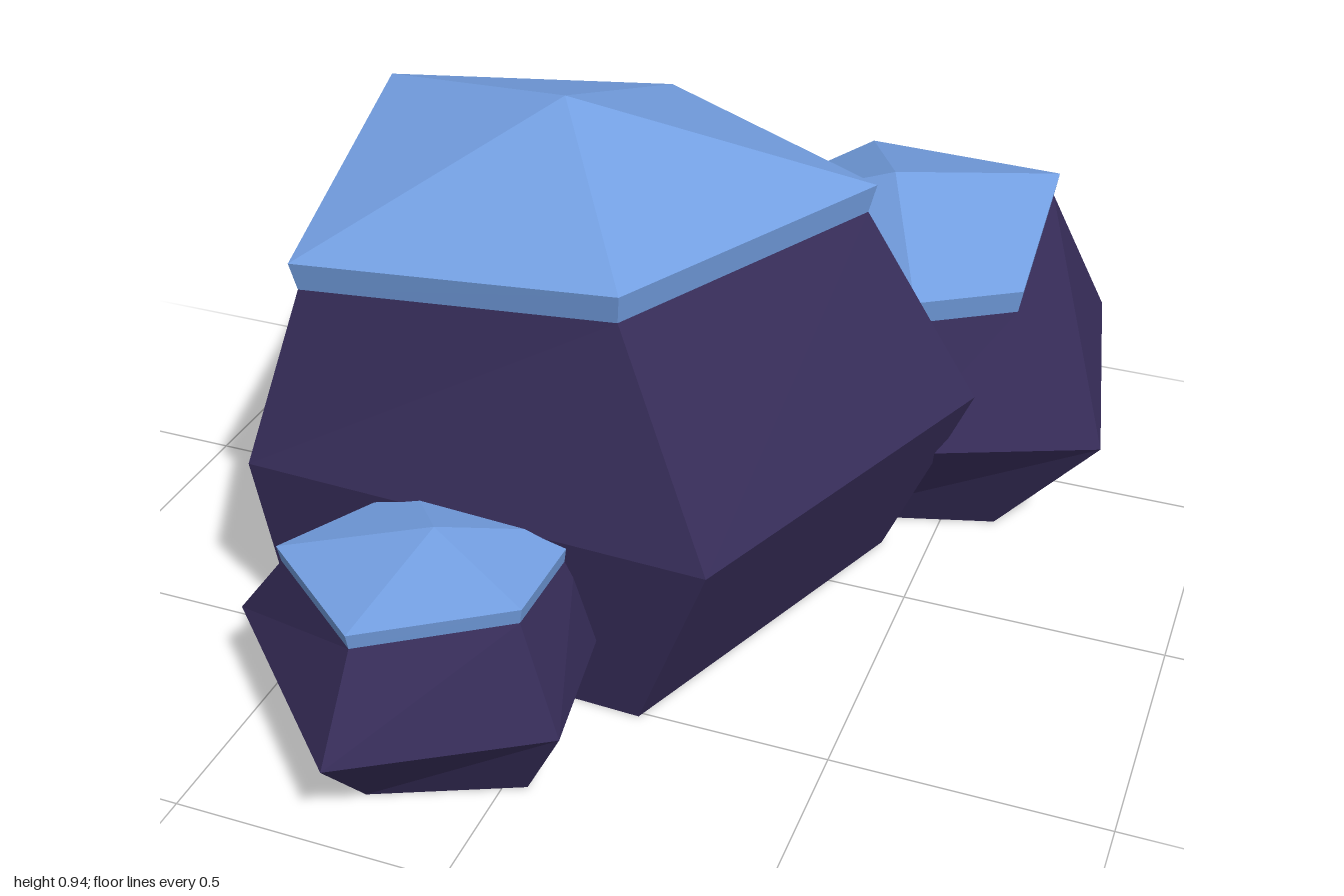
import * as THREE from 'three';

// Shells are open underneath, so both colours show from inside too
const stone = new THREE.MeshStandardMaterial({ color: 0x362c58, side: THREE.DoubleSide });
stone.name = 'dark purple stone';
const ice = new THREE.MeshStandardMaterial({ color: 0x74a0e3, side: THREE.DoubleSide });
ice.name = 'blue cap';

// Faceted skin through stacked rings (clockwise from above), optionally closed by a point on top
function facetedSkin(rings, top) {
  const pos = [];
  const tri = (...pts) => pts.forEach((p) => pos.push(...p));
  const n = rings[0].length;
  for (let i = 0; i < n; i++) {
    const j = (i + 1) % n;
    for (let r = 0; r + 1 < rings.length; r++) {
      const a = rings[r], b = rings[r + 1];
      tri(a[j], a[i], b[i]);
      tri(a[j], b[i], b[j]);
    }
    const last = rings[rings.length - 1];
    if (top) tri(last[j], last[i], top);
  }
  const geo = new THREE.BufferGeometry();
  geo.setAttribute('position', new THREE.Float32BufferAttribute(pos, 3));
  geo.computeVertexNormals();
  return geo;
}

// Boulder: base and waist outlines are [x, z]; rim corners are [x, y, z]
function boulder(name, { base, waist, waistY, rim, apex, lip }) {
  const group = new THREE.Group();
  group.name = name;
  const level = (pts, y) => pts.map(([x, z]) => [x, y, z]);
  const underRim = rim.map(([x, y, z]) => [
    apex[0] + (x - apex[0]) * 0.975, y - lip, apex[2] + (z - apex[2]) * 0.975,
  ]);
  const body = new THREE.Mesh(facetedSkin([level(base, 0), level(waist, waistY), underRim]), stone);
  body.name = name + 'Body';
  const cap = new THREE.Mesh(facetedSkin([underRim, rim], apex), ice);
  cap.name = name + 'Cap';
  group.add(body, cap);
  return group;
}

export function createModel() {
  const model = new THREE.Group();
  model.name = 'cappedBoulders';

  model.add(boulder('largeBoulder', {
    base: [[-0.74, -0.2], [-0.2, -0.62], [0.41, -0.16], [0.15, 0.51], [-0.56, 0.48]],
    waist: [[-0.803, -0.23], [-0.21, -0.735], [0.57, -0.17], [0.29, 0.555], [-0.6, 0.52]],
    waistY: 0.37,
    rim: [[-0.63, 0.85, -0.17], [-0.16, 0.775, -0.48], [0.35, 0.765, -0.2], [0.08, 0.79, 0.41], [-0.53, 0.75, 0.435]],
    apex: [-0.185, 0.945, 0.005],
    lip: 0.055,
  }));

  model.add(boulder('backBoulder', {
    base: [[0.17, -0.87], [0.58, -0.765], [0.603, -0.31], [0.27, -0.21], [0.0, -0.555]],
    waist: [[0.13, -1], [0.695, -0.85], [0.803, -0.27], [0.42, -0.105], [-0.16, -0.54]],
    waistY: 0.245,
    rim: [[0.15, 0.51, -0.92], [0.59, 0.575, -0.765], [0.615, 0.525, -0.33], [0.43, 0.52, -0.22], [-0.05, 0.5, -0.53]],
    apex: [0.3, 0.635, -0.53],
    lip: 0.048,
  }));

  model.add(boulder('smallBoulder', {
    base: [[-0.4, 0.66], [-0.28, 0.43], [0, 0.49], [0.04, 0.75], [-0.21, 0.865]],
    waist: [[-0.555, 0.66], [-0.36, 0.34], [0.06, 0.42], [0.12, 0.79], [-0.21, 1]],
    waistY: 0.16,
    rim: [[-0.45, 0.34, 0.69], [-0.3, 0.36, 0.465], [0.03, 0.355, 0.48], [0.04, 0.375, 0.745], [-0.22, 0.34, 0.87]],
    apex: [-0.17, 0.415, 0.635],
    lip: 0.03,
  }));

  return model;
}
